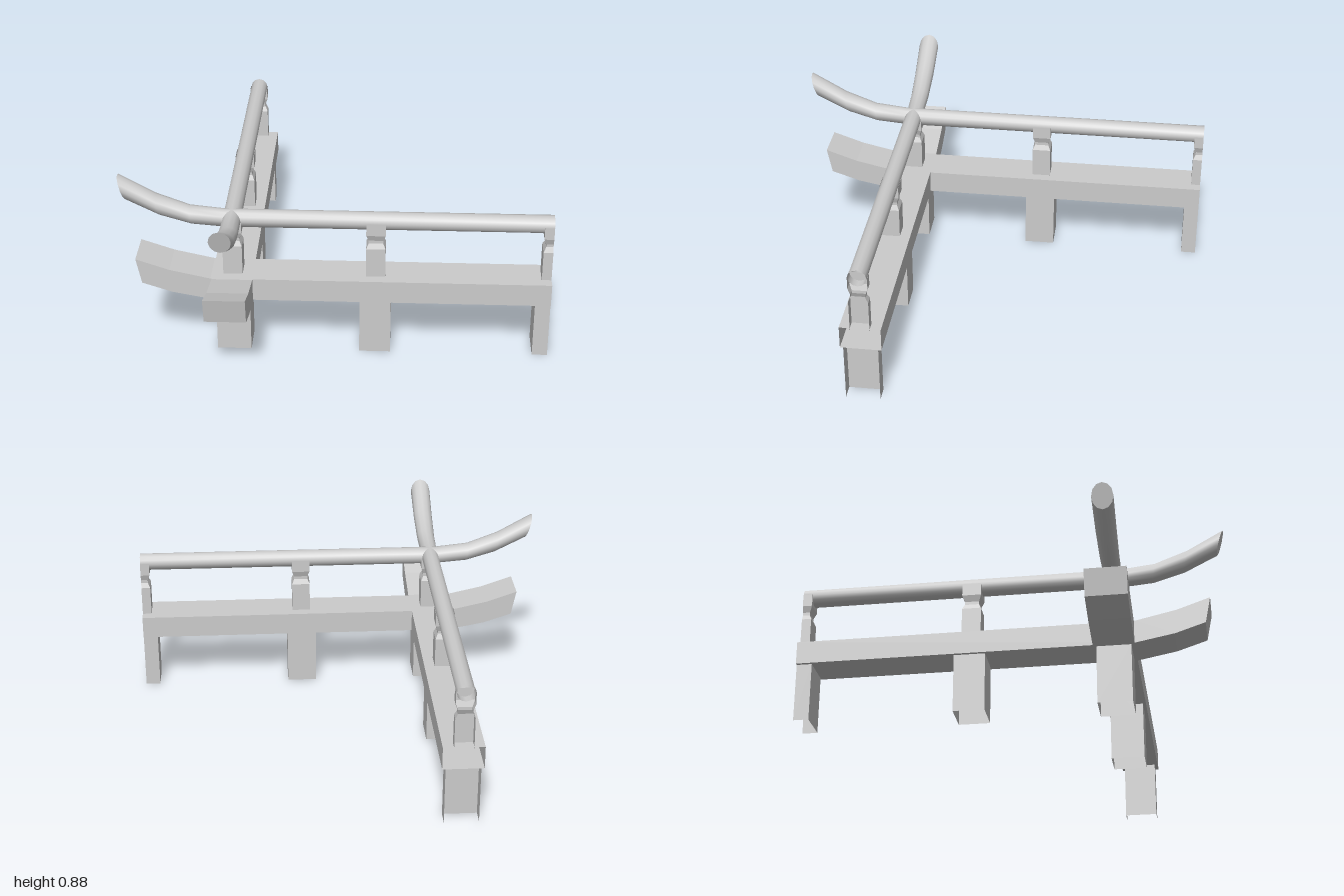
import * as THREE from 'three';

const material = new THREE.MeshStandardMaterial({ color: 0xcccccc, side: THREE.DoubleSide });
const CORNER = 0.48; // the two arms cross at (-CORNER, CORNER)

// Skins a list of point rings; 'closed' joins each ring's ends, 'cap' fills the first ring.
function loft(name, rings, { closed = true, smooth = false, cap = false } = {}) {
  const n = rings[0].length;
  const points = rings.flat();
  const index = [];
  for (let i = 0; i < rings.length - 1; i++) {
    for (let j = 0; j < (closed ? n : n - 1); j++) {
      const k = (j + 1) % n;
      const a = i * n + j, b = i * n + k, c = b + n, d = a + n;
      index.push(a, b, c, a, c, d);
    }
  }
  if (cap) {
    const base = points.length;
    points.push(...rings[0].map((p) => p.clone()));
    for (let j = 1; j < n - 1; j++) index.push(base, base + j + 1, base + j);
  }
  let geometry = new THREE.BufferGeometry().setFromPoints(points);
  geometry.setIndex(index);
  if (!smooth) geometry = geometry.toNonIndexed();
  geometry.computeVertexNormals();
  const mesh = new THREE.Mesh(geometry, material);
  mesh.name = name;
  return mesh;
}

// Rings along an arm: each station is [bottom x, bottom y, top x, top y, half width].
function armRings(stations, outline) {
  return stations.map(([bx, by, tx, ty, half]) => outline.map(([across, up]) => {
    const t = (up + 1) / 2;
    return new THREE.Vector3(
      THREE.MathUtils.lerp(bx, tx, t) + CORNER,
      THREE.MathUtils.lerp(by, ty, t),
      -across * half);
  }));
}

// Square upright from [y, half x, half z] levels; a half upright stops open at its cut plane.
function upright(name, x, levels, half = false) {
  const rings = levels.map(([y, hx, hz]) => {
    const corners = half
      ? [[0, -hz], [-hx, -hz], [-hx, hz], [0, hz]]
      : [[hx, hz], [hx, -hz], [-hx, -hz], [-hx, hz]];
    return corners.map(([px, pz]) => new THREE.Vector3(x + px, y, pz));
  });
  return loft(name, rings, { closed: !half });
}

const square = [[1, -1], [1, 1], [-1, 1], [-1, -1]];
const round = Array.from({ length: 12 }, (_, i) => {
  const a = (i / 12) * Math.PI * 2;
  return [Math.cos(a), Math.sin(a)];
});

// Post profile with a pinched neck
const balusterLevels = [
  [0.38, 0.045, 0.045], [0.535, 0.045, 0.045], [0.56, 0.034, 0.034],
  [0.575, 0.034, 0.034], [0.605, 0.045, 0.045], [0.665, 0.045, 0.045],
];
const legLevels = (hx) => [[0, hx, 0.08], [0.28, hx, 0.08]];

function createArm(name) {
  const arm = new THREE.Group();
  arm.name = name;

  // Base beam with an upswept tail
  arm.add(loft('beam', armRings([
    [-0.90, 0.36, -0.925, 0.485, 0.095],
    [-0.76, 0.314, -0.77, 0.432, 0.095],
    [-0.58, 0.28, -0.58, 0.39, 0.095],
    [1, 0.28, 1, 0.39, 0.095],
  ], square), { cap: true }));

  // Round handrail, thickening along its upswept tail
  arm.add(loft('handrail', armRings([
    [-0.965, 0.755, -1, 0.875, 0.05],
    [-0.81, 0.677, -0.83, 0.78, 0.048],
    [-0.665, 0.634, -0.675, 0.722, 0.045],
    [-0.51, 0.621, -0.51, 0.705, 0.0425],
    [1, 0.621, 1, 0.705, 0.0425],
  ], round), { smooth: true, cap: true }));

  // Middle supports, and halved supports at the cut end
  const middle = 0.185 + CORNER, end = 1 + CORNER;
  arm.add(upright('middleBaluster', middle, balusterLevels));
  arm.add(upright('middleLeg', middle, legLevels(0.073)));
  arm.add(upright('endBaluster', end, balusterLevels, true));
  arm.add(upright('endLeg', end, legLevels(0.072), true));
  return arm;
}

export function createModel() {
  const model = new THREE.Group();
  model.name = 'cornerRailing';

  const railing = new THREE.Group();
  railing.name = 'railing';
  railing.position.set(-CORNER, 0, CORNER);
  model.add(railing);

  // Two identical arms at right angles
  const frontArm = createArm('frontArm');
  const sideArm = createArm('sideArm');
  sideArm.rotation.y = Math.PI / 2;
  railing.add(frontArm, sideArm);

  // Shared corner supports
  railing.add(upright('cornerBaluster', 0, balusterLevels));
  railing.add(upright('cornerLeg', 0, legLevels(0.08)));
  return model;
}
